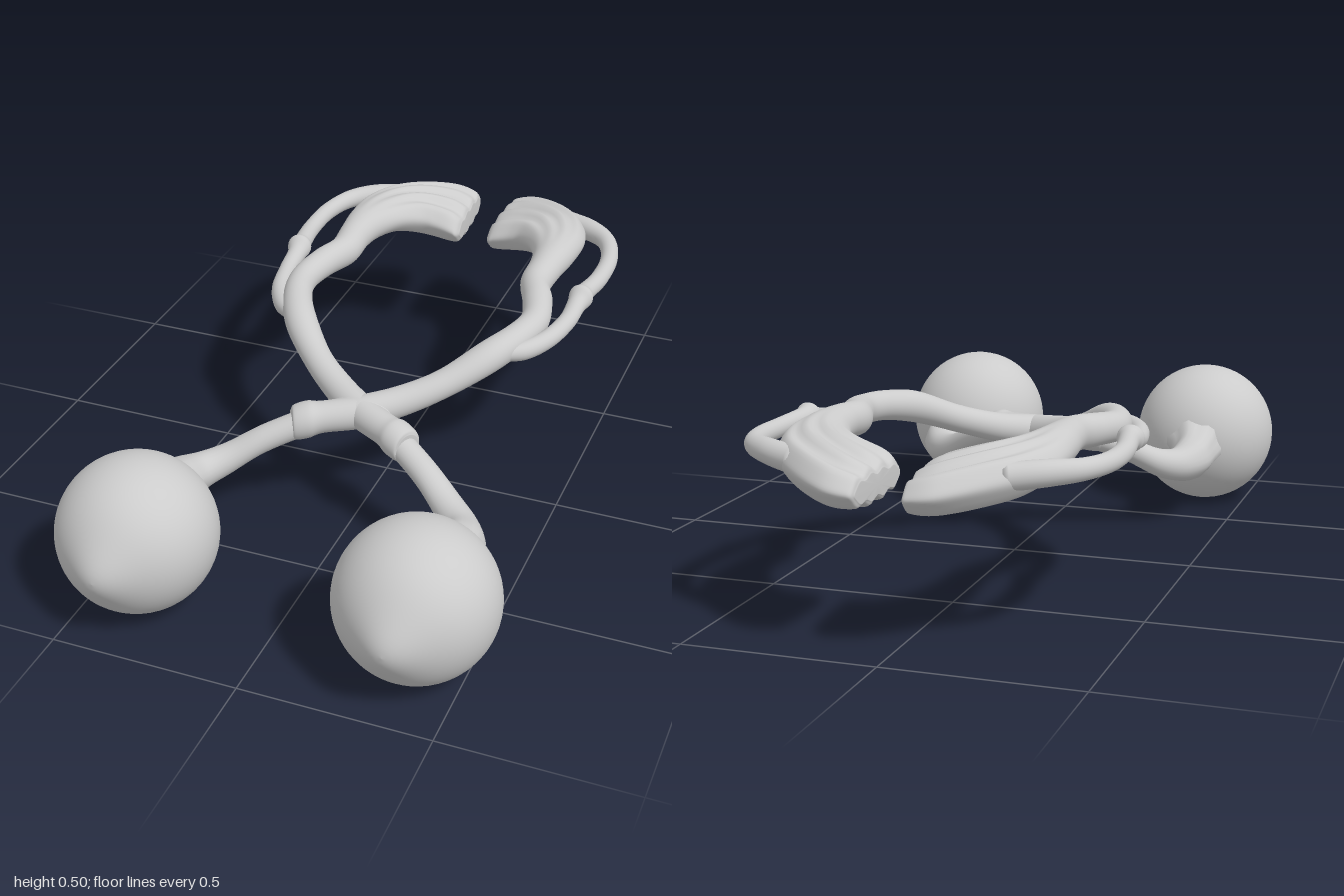
import * as THREE from 'three';

const grey = new THREE.MeshStandardMaterial({ color: 0xcccccc });

// Round station [x, y, z, r] -> [x, y, z, wx, wz, h]; six-number stations pass through
function expand(stations) {
  return stations.map((s, i) => {
    if (s.length > 4) return s;
    const a = stations[Math.max(i - 1, 0)], b = stations[Math.min(i + 1, stations.length - 1)];
    const dx = b[0] - a[0], dz = b[2] - a[2], len = Math.hypot(dx, dz);
    return [s[0], s[1], s[2], -dz / len * s[3], dx / len * s[3], s[3]];
  });
}

// Smooth loft through upright elliptical sections; relief(t, angle) scales each ring
function loft(name, side, stations, relief = () => [1, 1], steps = 8, sides = 24) {
  const full = expand(stations);
  const centres = new THREE.CatmullRomCurve3(
    full.map(s => new THREE.Vector3(s[0], s[1], s[2])), false, 'catmullrom', 0.5);
  const widths = new THREE.CatmullRomCurve3(
    full.map(s => new THREE.Vector3(s[3], s[4], s[5])), false, 'catmullrom', 0.5);
  const rings = (full.length - 1) * steps;
  const pos = [], index = [];
  const face = (a, b, c) => side > 0 ? index.push(a, b, c) : index.push(a, c, b);
  for (let i = 0; i <= rings; i++) {
    const t = i / rings, p = centres.getPoint(t), w = widths.getPoint(t);
    for (let j = 0; j < sides; j++) {
      const a = j / sides * Math.PI * 2;
      const [kw, kh] = relief(t, a);
      const c = Math.cos(a) * kw, s = Math.sin(a) * kh;
      pos.push(side * (p.x + c * w.x), p.y + s * w.z, p.z + c * w.y);
      if (i < rings) {
        const m = i * sides + j, n = i * sides + (j + 1) % sides;
        face(m, m + sides, n);
        face(n, m + sides, n + sides);
      }
    }
  }
  // End caps
  const first = centres.getPoint(0), last = centres.getPoint(1);
  const f = pos.length / 3, l = f + 1, base = rings * sides;
  pos.push(side * first.x, first.y, first.z, side * last.x, last.y, last.z);
  for (let j = 0; j < sides; j++) {
    const k = (j + 1) % sides;
    face(f, j, k);
    face(l, base + k, base + j);
  }
  const geo = new THREE.BufferGeometry();
  geo.setAttribute('position', new THREE.Float32BufferAttribute(pos, 3));
  geo.setIndex(index);
  geo.computeVertexNormals();
  const mesh = new THREE.Mesh(geo, grey);
  mesh.name = name;
  return mesh;
}

// Eyeball: sphere with a bulging cornea, turned about the z axis
function eyeball(side) {
  const R = 0.206, profile = [];
  for (let i = 0; i <= 48; i++) {
    const a = Math.PI * (i / 48 - 0.5);
    const bulge = 0.027 * Math.exp(-Math.pow((Math.PI / 2 - a) / 0.38, 2));
    profile.push(new THREE.Vector2(Math.max(0, R * Math.cos(a)), (R + bulge) * Math.sin(a)));
  }
  const geo = new THREE.LatheGeometry(profile, 56);
  geo.rotateX(Math.PI / 2);
  const mesh = new THREE.Mesh(geo, grey);
  mesh.name = side > 0 ? 'leftEyeball' : 'rightEyeball';
  mesh.position.set(side * 0.372, 0.205, 0.766);
  return mesh;
}

// Nerve from the back of the eyeball to the crossing, folded where it meets the eye
const nerve = [
  [0.375, 0.203, 0.64, 0.125], [0.38, 0.2, 0.59, 0.085], [0.388, 0.19, 0.54, 0.066],
  [0.386, 0.18, 0.48, 0.06], [0.36, 0.175, 0.42, 0.048], [0.31, 0.192, 0.37, 0.042],
  [0.23, 0.24, 0.318, 0.038], [0.12, 0.288, 0.255, 0.037],
];
const nerveFolds = (t, a) => {
  const k = 1 + 0.1 * Math.max(0, 1 - t / 0.6) * Math.cos(6 * a + 1);
  return [k, k];
};

// Tract: collar on the far side, through the crossing, widening into the cortex fan
const tract = [
  [-0.165, 0.28, 0.277, 0.036], [-0.158, 0.282, 0.273, 0.047], [-0.125, 0.29, 0.258, 0.05],
  [-0.09, 0.295, 0.24, 0.043], [0, 0.302, 0.19, 0.045], [0.09, 0.318, 0.125, 0.042],
  [0.18, 0.35, 0.055, 0.04], [0.27, 0.397, -0.04, 0.045], [0.325, 0.418, -0.14, 0.041],
  [0.346, 0.425, -0.235, 0.04], [0.325, 0.435, -0.33, 0.042],
  [0.294, 0.44, -0.41, 0.044, 0, 0.045], [0.295, 0.447, -0.5, 0.048, 0, 0.046],
  [0.294, 0.446, -0.59, 0.06, -0.012, 0.05], [0.277, 0.44, -0.685, 0.076, -0.038, 0.052],
  [0.235, 0.427, -0.765, 0.077, -0.072, 0.058], [0.177, 0.415, -0.815, 0.056, -0.108, 0.057],
  [0.105, 0.4, -0.848, 0.034, -0.138, 0.052], [0.062, 0.391, -0.852, 0.009, -0.138, 0.042],
  [0.05, 0.388, -0.852, 0.006, -0.12, 0.028],
];
// Four ridges running out to the inner edge of the fan
const cortexRidges = (t, a) => {
  const g = THREE.MathUtils.smoothstep(t, 0.66, 0.9);
  const c = Math.cos(a);
  const box = 1 + 0.22 * g * Math.abs(Math.sin(2 * a)) * Math.abs(c);
  return [1, box * (1 - 0.17 * g * Math.cos(4 * Math.PI * c))];
};

// Outer fibre loop with a small knob halfway along
const loop = [
  [0.3, 0.405, -0.06, 0.02], [0.355, 0.402, -0.11, 0.027], [0.4, 0.405, -0.19, 0.026],
  [0.423, 0.41, -0.29, 0.025], [0.428, 0.424, -0.365, 0.027], [0.432, 0.434, -0.4, 0.035],
  [0.435, 0.434, -0.43, 0.027], [0.449, 0.43, -0.53, 0.025], [0.446, 0.432, -0.65, 0.025],
  [0.412, 0.435, -0.75, 0.027], [0.345, 0.435, -0.81, 0.032], [0.25, 0.428, -0.855, 0.035],
];

export function createModel() {
  const model = new THREE.Group();
  model.name = 'visualPathway';
  for (const side of [1, -1]) {
    const label = side > 0 ? 'left' : 'right';
    model.add(
      eyeball(side),
      loft(label + 'OpticNerve', side, nerve, nerveFolds),
      loft(label + 'TractAndCortex', side, tract, cortexRidges, 8, 64),
      loft(label + 'FibreLoop', side, loop),
    );
  }
  // Fillet where the two tracts cross
  const crossing = new THREE.Mesh(new THREE.SphereGeometry(1, 32, 20), grey);
  crossing.name = 'nerveCrossing';
  crossing.scale.set(0.085, 0.045, 0.05);
  crossing.position.set(0, 0.302, 0.19);
  model.add(crossing);
  return model;
}
